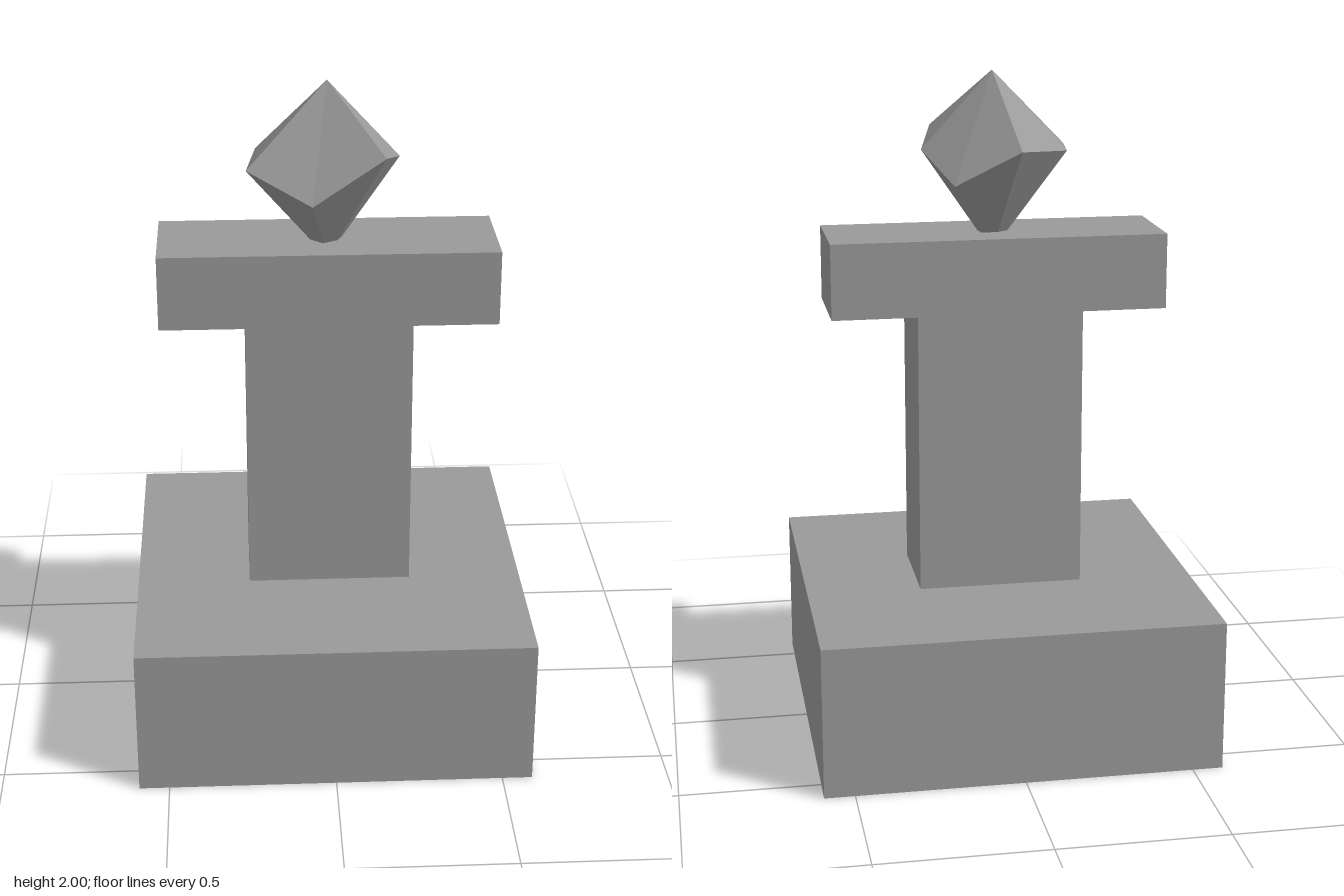
import * as THREE from 'three';

const stone = new THREE.MeshStandardMaterial({ color: 0x999999 });
stone.name = 'greyStone';
stone.flatShading = true;

function addPart(group, name, geometry) {
  const mesh = new THREE.Mesh(geometry, stone);
  mesh.name = name;
  group.add(mesh);
  return mesh;
}

// Irregular faceted gem: one rim loop joined to a top and a bottom point
function gemGeometry(rim, topY, bottomY) {
  const top = [0, topY, 0];
  const bottom = [0, bottomY, 0];
  const positions = [];
  rim.forEach((a, i) => {
    const b = rim[(i + 1) % rim.length];
    positions.push(...top, ...a, ...b, ...bottom, ...b, ...a);
  });
  const geometry = new THREE.BufferGeometry();
  geometry.setAttribute('position', new THREE.Float32BufferAttribute(positions, 3));
  geometry.computeVertexNormals();
  return geometry;
}

export function createModel() {
  const model = new THREE.Group();
  model.name = 'gemPedestal';

  // Square plinth
  const baseHeight = 0.455;
  addPart(model, 'base', new THREE.BoxGeometry(1.18, baseHeight, 1.18)).position.y = baseHeight / 2;

  // T-shaped pillar with its crossbar in one piece
  const half = [[0.247, baseHeight], [0.247, 1.3], [0.5, 1.3], [0.5, 1.525]];
  const outline = [...half, ...half.map(([x, y]) => [-x, y]).reverse()];
  const depth = 0.315;
  const pillar = new THREE.ExtrudeGeometry(
    new THREE.Shape(outline.map(([x, y]) => new THREE.Vector2(x, y))),
    { depth, bevelEnabled: false }
  );
  pillar.translate(0, 0, -depth / 2);
  addPart(model, 'pillar', pillar);

  // Gem balanced on the crossbar, its lower point sunk into the stone
  const rim = [
    [0.212, 1.77, 0],
    [0.135, 1.682, -0.155],
    [-0.053, 1.785, -0.21],
    [-0.207, 1.77, -0.094],
    [-0.237, 1.765, 0.104],
    [-0.05, 1.685, 0.2],
    [0.16, 1.82, 0.182],
  ];
  addPart(model, 'gem', gemGeometry(rim, 2, 1.46));

  return model;
}
